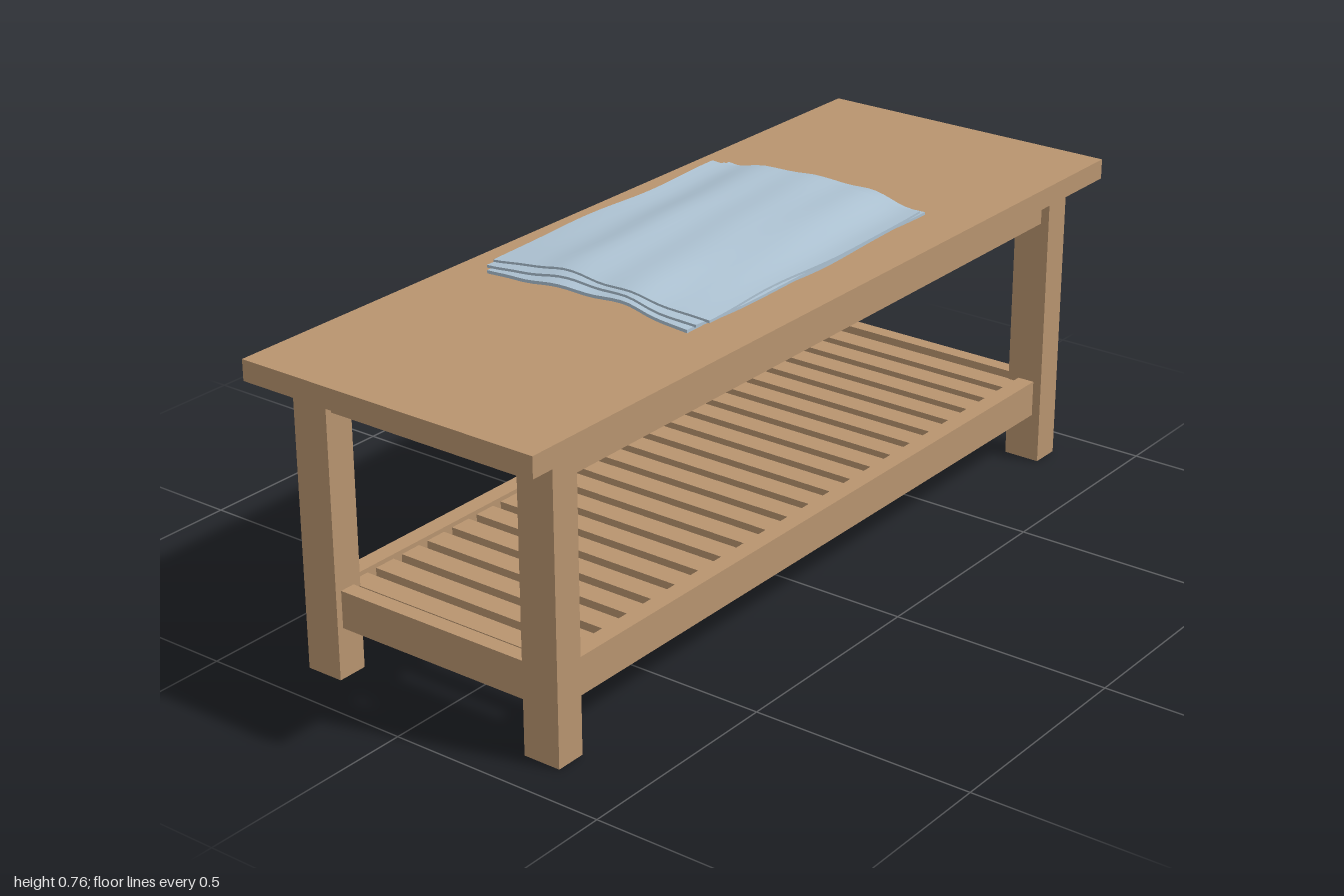
import * as THREE from 'three';

export function createModel() {
  const table = new THREE.Group();
  table.name = 'coffeeTable';
  const wood = new THREE.MeshStandardMaterial({ color: 0xb8946f });
  wood.name = 'warm wood';
  const cloth = new THREE.MeshStandardMaterial({ color: 0xadc2d2 });
  cloth.name = 'pale blue cloth';

  // Wooden board given by its min and max corners
  function board(name, x0, x1, y0, y1, z0, z1) {
    const mesh = new THREE.Mesh(new THREE.BoxGeometry(x1 - x0, y1 - y0, z1 - z0), wood);
    mesh.position.set((x0 + x1) / 2, (y0 + y1) / 2, (z0 + z1) / 2);
    mesh.name = name;
    table.add(mesh);
  }

  board('tableTop', -1, 1, 0.66, 0.706, -0.365, 0.365);

  // Four square legs
  for (const sx of [-1, 1]) {
    for (const sz of [-1, 1]) {
      const xs = [sx * 0.835, sx * 0.905].sort((a, b) => a - b);
      const zs = [sz * 0.243, sz * 0.33].sort((a, b) => a - b);
      board('leg', xs[0], xs[1], 0, 0.66, zs[0], zs[1]);
    }
  }

  // Aprons under the top and rails around the shelf
  for (const [name, y0, y1] of [['apron', 0.587, 0.66], ['shelfRail', 0.113, 0.197]]) {
    for (const s of [-1, 1]) {
      board(name + 'Long', -0.84, 0.84, y0, y1, s * 0.29 - 0.02, s * 0.29 + 0.02);
      board(name + 'Short', s * 0.872 - 0.018, s * 0.872 + 0.018, y0, y1, -0.245, 0.245);
    }
  }

  // Shelf slats running front to back
  const slats = 22;
  const pitch = 1.7 / slats;
  for (let i = 0; i < slats; i++) {
    const x = -0.85 + pitch * (i + 0.5);
    board('shelfSlat', x - 0.026, x + 0.026, 0.165, 0.187, -0.275, 0.275);
  }

  // Height of the draped cloth: a flat crown falling towards front and back
  function drape(x, z) {
    const fall = THREE.MathUtils.smoothstep(Math.abs(z), 0.09, 0.25);
    const ends = THREE.MathUtils.smoothstep(Math.abs(x), 0.3, 0.43);
    const ripple = 0.0022 * Math.sin(z * 42 + x * 5) + 0.0012 * Math.sin(x * 19 - z * 8);
    return 0.749 - 0.022 * fall - 0.006 * ends * (1 - fall) + ripple;
  }

  // One folded layer with slightly uneven edges
  function clothLayer(name, x0, x1, z0, z1, lift, thick, phase) {
    const geo = new THREE.BoxGeometry(x1 - x0, thick, z1 - z0, 28, 1, 24);
    const p = geo.attributes.position;
    for (let i = 0; i < p.count; i++) {
      const u = p.getX(i) / (x1 - x0) * 2;
      const v = p.getZ(i) / (z1 - z0) * 2;
      const x = (x0 + x1) / 2 + p.getX(i) + 0.006 * u ** 6 * Math.sin(v * 4 + phase);
      const z = (z0 + z1) / 2 + p.getZ(i) + 0.006 * v ** 6 * Math.sin(u * 4 + phase * 2);
      p.setXYZ(i, x, drape(x, z) + lift + p.getY(i), z);
    }
    geo.computeVertexNormals();
    const mesh = new THREE.Mesh(geo, cloth);
    mesh.name = name;
    table.add(mesh);
  }
  clothLayer('clothLowerFold', -0.405, 0.428, -0.262, 0.26, -0.004, 0.007, 0.4);
  clothLayer('clothMiddleFold', -0.385, 0.412, -0.27, 0.268, 0.002, 0.006, 1.7);
  clothLayer('clothUpperFold', -0.365, 0.392, -0.278, 0.272, 0.007, 0.006, 3.1);

  return table;
}
